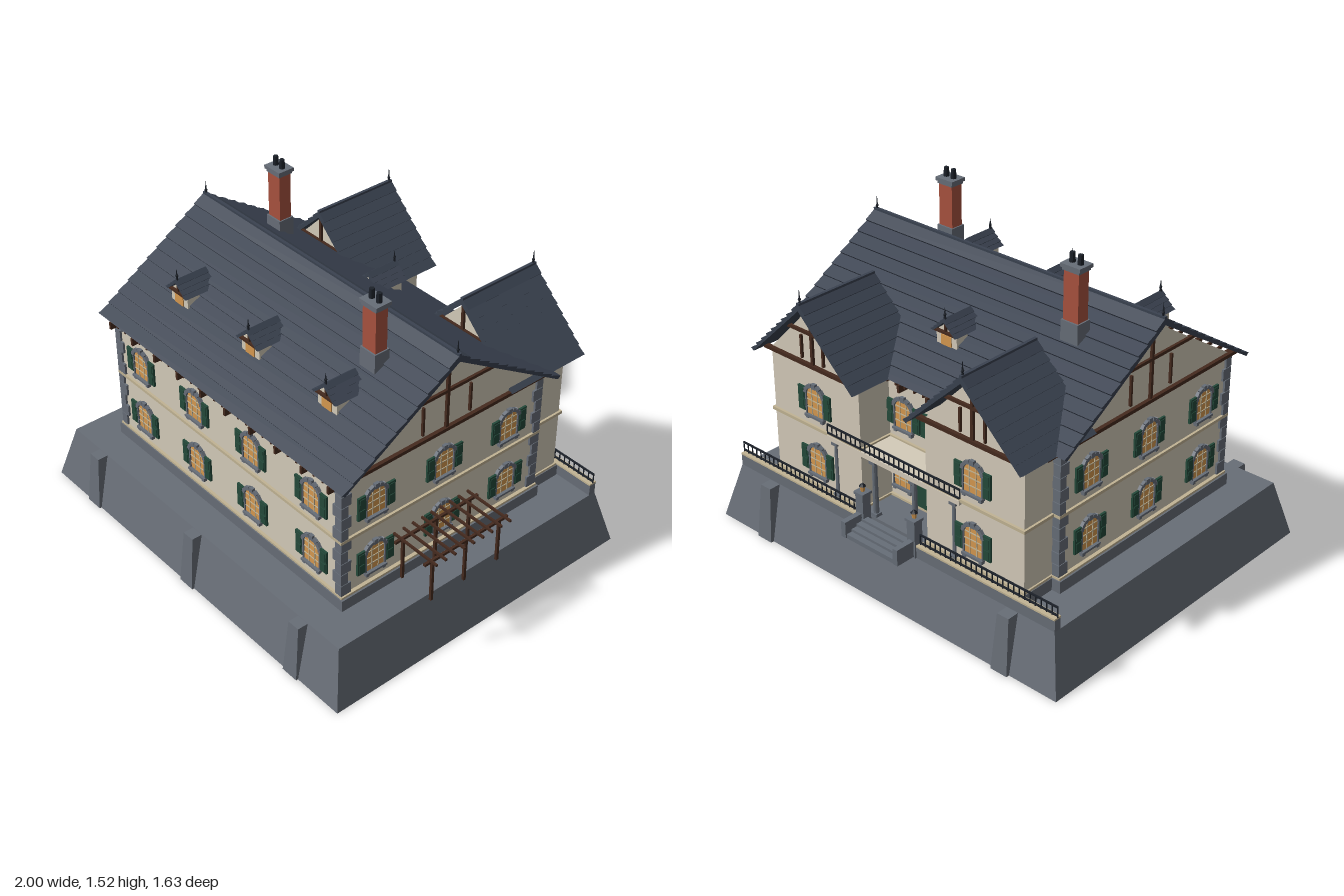
import * as THREE from 'three';

const mat = (name, color) => {
  const m = new THREE.MeshStandardMaterial({ color, flatShading: true });
  m.name = name;
  return m;
};
const M = {
  wall: mat('cream plaster', 0xd4cbb9), trim: mat('tan trim', 0xc2b494), stone: mat('grey stone', 0x676e78),
  base: mat('terrace stone', 0x686e77), roof: mat('dark slate', 0x3a4250), timber: mat('brown timber', 0x452a1e),
  green: mat('green shutter', 0x24493a), glass: mat('warm window', 0xd6994f), brick: mat('red brick', 0xa8523f),
  iron: mat('black iron', 0x1c2129),
};
const ZC = 0.037; // ridge line of the main house

const add = (parent, name, geo, material, x = 0, y = 0, z = 0) => {
  const mesh = new THREE.Mesh(geo, material);
  mesh.name = name;
  mesh.position.set(x, y, z);
  parent.add(mesh);
  return mesh;
};
// box standing on y
const box = (p, name, m, w, h, d, x, y, z) => add(p, name, new THREE.BoxGeometry(w, h, d), m, x, y + h / 2, z);
const cyl = (p, name, m, r0, r1, h, x, y, z, n = 8) => add(p, name, new THREE.CylinderGeometry(r1, r0, h, n), m, x, y + h / 2, z);
const group = (p, name, x = 0, y = 0, z = 0, ry = 0) => {
  const g = new THREE.Group();
  g.name = name;
  g.position.set(x, y, z);
  g.rotation.y = ry;
  p.add(g);
  return g;
};
// box whose top is a different size from its bottom
function taper(p, name, m, w0, d0, w1, d1, h, x, z) {
  const g = new THREE.BoxGeometry(1, h, 1), a = g.attributes.position;
  for (let i = 0; i < a.count; i++) {
    const top = a.getY(i) > 0;
    a.setX(i, a.getX(i) * (top ? w1 : w0));
    a.setZ(i, a.getZ(i) * (top ? d1 : d0));
  }
  return add(p, name, g, m, x, h / 2, z);
}
const extrude = (pts, depth) => new THREE.ExtrudeGeometry(
  new THREE.Shape(pts.map(([x, y]) => new THREE.Vector2(x, y))), { depth, bevelEnabled: false });

// gabled wall block, and stepped slate roof, both running along z
const gableBlock = (half, y0, eave, apex, depth) =>
  extrude([[-half, y0], [half, y0], [half, eave], [0, apex], [-half, eave]], depth);
function slateRoof(half, eave, ridge, depth, rows, lip = 0.009, thick = 0.022) {
  const len = Math.hypot(half, ridge - eave), nx = (ridge - eave) / len, ny = half / len, side = [];
  for (let i = 0; i < rows; i++) {
    const t = i / rows, u = (i + 1) / rows;
    side.push([half * (1 - t) + nx * lip, eave + (ridge - eave) * t + ny * lip - lip]);
    side.push([half * (1 - u), eave + (ridge - eave) * u - lip]);
  }
  side[side.length - 1][1] = ridge;
  const left = side.slice(0, -1).reverse().map(([x, y]) => [-x, y]);
  return extrude([[half - 0.01, eave - thick * 0.6], ...side, ...left,
    [-half + 0.01, eave - thick * 0.6], [0, ridge - thick - lip]], depth);
}

// half-timber pattern on a gable that faces local +z
function gableTimbers(p, x, z, ry, half, y, h) {
  const g = group(p, 'gableTimbers', x, y, z, ry), t = 0.014;
  box(g, 'tieBeam', M.timber, half * 2, 0.016, 0.02, 0, -0.008, 0.004);
  box(g, 'collarBeam', M.timber, half, t, t, 0, h * 0.5, 0.002);
  box(g, 'kingPost', M.timber, t, h * 0.97, t, 0, 0, 0.002);
  for (const s of [-1, 1]) box(g, 'stud', M.timber, 0.01, h * 0.38, t, s * half * 0.22, h * 0.07, 0.001);
}

function finial(p, x, y, z, h = 0.07) {
  cyl(p, 'finialSpike', M.iron, 0.006, 0.001, h, x, y, z, 6);
  add(p, 'finialBall', new THREE.SphereGeometry(0.007, 6, 4), M.iron, x, y + h * 0.4, z);
}

// arched window with shutters, facing local +z, standing on its sill
function windowUnit(p, x, y, z, ry = 0, shutters = true) {
  const g = group(p, 'window', x, y, z, ry), pane = [[-0.05, 0], [0.05, 0]], n = 8;
  for (let i = 0; i <= n; i++) {
    const a = Math.PI * i / n;
    pane.push([0.05 * Math.cos(a), 0.1 + 0.038 * Math.sin(a)]);
  }
  add(g, 'pane', extrude(pane, 0.006), M.glass);
  for (const bx of [-0.018, 0.018]) box(g, 'mullion', M.trim, 0.004, 0.132, 0.004, bx, 0, 0.007);
  for (const by of [0.035, 0.07, 0.102]) box(g, 'glazingBar', M.trim, 0.098, 0.004, 0.004, 0, by, 0.007);
  for (let i = 0; i < 7; i++) {
    const a = Math.PI * (i + 0.5) / 7, key = i === 3;
    const v = box(g, 'archStone', M.stone, key ? 0.024 : 0.016, 0.021, 0.016, 0.053 * Math.cos(a), 0, 0.007);
    v.position.y = 0.102 + 0.042 * Math.sin(a);
    v.rotation.z = a;
  }
  box(g, 'sill', M.stone, 0.112, 0.01, 0.022, 0, -0.006, 0.009);
  for (const s of [-1, 1]) {
    box(g, 'jamb', M.stone, 0.007, 0.1, 0.012, s * 0.051, 0, 0.006);
    box(g, 'sillBlock', M.stone, 0.016, 0.014, 0.018, s * 0.044, -0.016, 0.008);
    if (!shutters) continue;
    box(g, 'shutter', M.green, 0.04, 0.112, 0.01, s * 0.076, 0.013, 0.008);
    for (const by of [0.02, 0.075]) box(g, 'shutterPanel', M.green, 0.028, 0.042, 0.004, s * 0.076, by, 0.014);
  }
}

function railing(p, x0, x1, y, z, h) {
  const g = group(p, 'ironRailing'), w = x1 - x0, n = Math.round(w / 0.028);
  for (const ry of [y + 0.006, y + h - 0.006]) box(g, 'rail', M.iron, w, 0.006, 0.008, (x0 + x1) / 2, ry, z);
  for (let i = 0; i <= n; i++) box(g, 'baluster', M.iron, 0.004, h, 0.004, x0 + w * i / n, y, z);
}

function dormer(p, x, ry) {
  const g = group(p, 'dormer', x, 0, ZC, ry);
  add(g, 'dormerWall', gableBlock(0.056, 0.98, 1.085, 1.13, 0.13), M.wall, 0, 0, 0.255);
  add(g, 'dormerRoof', slateRoof(0.07, 1.09, 1.155, 0.16, 4, 0.006, 0.012), M.roof, 0, 0, 0.243);
  box(g, 'dormerPane', M.glass, 0.056, 0.046, 0.006, 0, 1.028, 0.387);
  box(g, 'dormerLintel', M.timber, 0.125, 0.01, 0.014, 0, 1.083, 0.392);
  box(g, 'dormerPost', M.timber, 0.008, 0.05, 0.01, 0, 1.085, 0.39);
  finial(g, 0, 1.15, 0.393, 0.05);
}

function chimney(p, x, z, top) {
  const g = group(p, 'chimney', x, 0, z);
  box(g, 'chimneyBase', M.stone, 0.088, 0.235, 0.075, 0, 1.0, 0);
  box(g, 'chimneyStack', M.brick, 0.076, top - 1.235, 0.06, 0, 1.235, 0);
  box(g, 'chimneyCollar', M.stone, 0.086, 0.012, 0.07, 0, top - 0.012, 0);
  box(g, 'chimneyCap', M.stone, 0.1, 0.016, 0.08, 0, top, 0);
  for (const s of [-1, 1]) cyl(g, 'chimneyPot', M.iron, 0.013, 0.011, 0.042, s * 0.021, top + 0.016, 0);
}

export function createModel() {
  const root = new THREE.Group();
  root.name = 'manorHouse';
  const h = group(root, 'house', -0.02, 0, 0);

  // sloped terrace with buttresses
  taper(h, 'terrace', M.base, 1.96, 1.585, 1.825, 1.455, 0.26, 0, 0.0075);
  for (const x of [-0.695, 0, 0.695]) {
    taper(h, 'buttress', M.base, 0.085, 0.22, 0.06, 0.17, 0.258, x, 0.7);
    if (x) taper(h, 'buttress', M.base, 0.085, 0.22, 0.06, 0.17, 0.258, x, -0.69);
  }

  // main block
  const main = add(h, 'mainWalls', gableBlock(0.5375, 0.26, 0.9, 1.243, 1.482), M.wall, -0.741, 0, ZC);
  main.rotation.y = Math.PI / 2;
  const roof = add(h, 'mainRoof', slateRoof(0.585, 0.905, 1.28, 1.608, 11), M.roof, -0.804, 0, ZC);
  roof.rotation.y = Math.PI / 2;
  box(h, 'ridgeCap', M.roof, 1.61, 0.014, 0.014, 0, 1.272, ZC);
  box(h, 'plinth', M.base, 1.53, 0.055, 1.11, 0, 0.26, ZC);
  box(h, 'plinthLedge', M.trim, 1.515, 0.01, 1.1, 0, 0.315, ZC);
  box(h, 'beltCourse', M.trim, 1.504, 0.014, 1.097, 0, 0.598, ZC);
  for (const s of [-1, 1]) {
    gableTimbers(h, s * 0.744, ZC, s * Math.PI / 2, 0.578, 0.898, 0.355);
    finial(h, s * 0.79, 1.27, ZC);
    for (let i = 0; i < 10; i++) box(h, 'eaveBracket', M.timber, 0.012, 0.035, 0.06, -0.72 + i * 0.16, 0.862, ZC + s * 0.56);
    for (let i = 0; i < 29; i++) box(h, 'rafterTail', M.timber, 0.008, 0.014, 0.05, -0.728 + i * 0.052, 0.884, ZC + s * 0.555);
    // corner quoins
    for (const t of [-1, 1]) for (let i = 0; i < 10; i++) {
      const a = i % 2 ? 0.052 : 0.036, b = i % 2 ? 0.036 : 0.052;
      box(h, 'quoin', M.stone, a, 0.054, b, s * (0.751 - a / 2), 0.326 + i * 0.057, ZC + t * (0.5475 - b / 2));
    }
  }

  // rear wings
  for (const s of [-1, 1]) {
    const w = group(h, 'rearWing', s * 0.45);
    add(w, 'wingWalls', gableBlock(0.262, 0.26, 0.9, 1.17, 0.335), M.wall, 0, 0, -0.67);
    add(w, 'wingRoof', slateRoof(0.308, 0.905, 1.205, 0.425, 9), M.roof, 0, 0, -0.74);
    box(w, 'wingRidge', M.roof, 0.014, 0.012, 0.425, 0, 1.197, -0.5275);
    box(w, 'wingPlinth', M.base, 0.545, 0.055, 0.25, 0, 0.26, -0.557);
    box(w, 'wingLedge', M.trim, 0.538, 0.01, 0.25, 0, 0.315, -0.554);
    box(w, 'wingBelt', M.trim, 0.544, 0.014, 0.25, 0, 0.598, -0.556);
    gableTimbers(w, 0, -0.673, Math.PI, 0.295, 0.898, 0.28);
    gableTimbers(w, 0, -0.332, 0, 0.295, 0.898, 0.28);
    finial(w, 0, 1.195, -0.727);
  }

  // windows on both floors
  for (const y of [0.375, 0.66]) {
    for (const x of [-0.57, -0.19, 0.188, 0.568]) windowUnit(h, x, y, ZC + 0.5375);
    for (const s of [-1, 1]) {
      for (const z of [-0.322, 0.04, 0.404]) windowUnit(h, s * 0.741, y, z, s * Math.PI / 2);
      windowUnit(h, s * 0.45, y, -0.67, Math.PI);
      if (y > 0.5) windowUnit(h, s * 0.1, y, -0.5, Math.PI);
      else windowUnit(h, s * 0.115, y, -0.5, Math.PI, false);
    }
  }
  box(h, 'frontDoor', M.green, 0.1, 0.19, 0.012, 0, 0.325, -0.505);
  box(h, 'doorGlass', M.glass, 0.06, 0.06, 0.006, 0, 0.44, -0.513);

  // porch with balcony
  box(h, 'balconyFloor', M.wall, 0.76, 0.022, 0.19, 0, 0.582, -0.589);
  box(h, 'porchFloor', M.base, 0.4, 0.055, 0.19, 0, 0.26, -0.588);
  railing(h, -0.38, 0.38, 0.604, -0.678, 0.052);
  for (const x of [-0.34, -0.115, 0.115, 0.34]) {
    cyl(h, 'porchColumn', M.stone, 0.013, 0.011, 0.27, x, 0.315, -0.665, 10);
    box(h, 'columnFoot', M.stone, 0.034, 0.02, 0.034, x, 0.31, -0.665);
    box(h, 'columnHead', M.stone, 0.034, 0.016, 0.034, x, 0.566, -0.665);
  }

  // rear parapet, gate piers with lamps, and steps
  for (const s of [-1, 1]) {
    box(h, 'parapet', M.base, 0.75, 0.052, 0.034, s * 0.5375, 0.26, -0.703);
    box(h, 'parapetCap', M.trim, 0.75, 0.008, 0.038, s * 0.5375, 0.312, -0.703);
    railing(h, s > 0 ? 0.18 : -0.912, s > 0 ? 0.912 : -0.18, 0.32, -0.703, 0.05);
    box(h, 'gatePier', M.stone, 0.044, 0.165, 0.044, s * 0.15, 0.26, -0.705);
    box(h, 'pierCap', M.stone, 0.054, 0.012, 0.054, s * 0.15, 0.425, -0.705);
    cyl(h, 'lampGlass', M.glass, 0.009, 0.012, 0.024, s * 0.15, 0.437, -0.705, 6);
    cyl(h, 'lampCap', M.iron, 0.016, 0.002, 0.014, s * 0.15, 0.461, -0.705, 6);
    box(h, 'stairCheek', M.stone, 0.026, 0.075, 0.1, s * 0.151, 0.265, -0.77);
  }
  for (let i = 0; i < 4; i++) box(h, 'step', M.stone, 0.28, 0.02 + i * 0.012, 0.028, 0, 0.262, -0.8 + i * 0.028);

  // dormers and chimneys
  for (const x of [-0.48, 0, 0.478]) dormer(h, x, 0);
  dormer(h, 0, Math.PI);
  chimney(h, -0.496, -0.137, 1.46);
  chimney(h, 0.507, 0.207, 1.44);

  // side pergola
  const g = group(h, 'pergola');
  for (const x of [0.808, 0.978]) {
    box(g, 'pergolaBeam', M.timber, 0.012, 0.012, 0.455, x, 0.512, 0.127);
    for (const z of [-0.055, 0.13, 0.31]) box(g, 'pergolaPost', M.timber, 0.012, 0.204, 0.012, x, 0.31, z);
  }
  for (let i = 0; i < 9; i++) box(g, 'pergolaSlat', M.timber, 0.25, 0.01, 0.009, 0.895, 0.523, -0.078 + i * 0.0505);
  return root;
}
